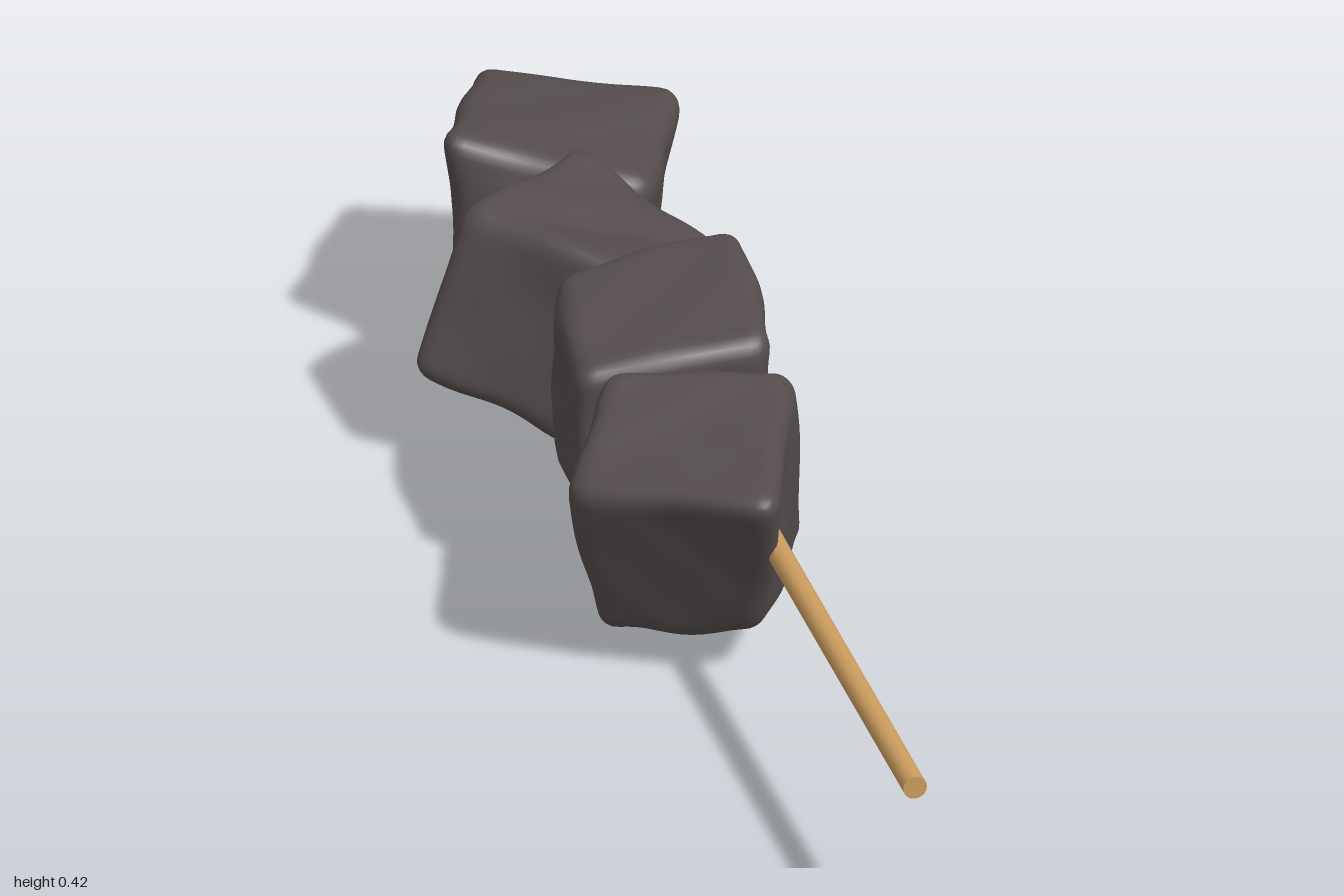
import * as THREE from 'three';
import { mergeVertices } from 'three/addons/utils/BufferGeometryUtils.js';

// Each lump: four bottom corners, then four top corners (left, front, right, back order around)
const LUMPS = [
  [[-.15, .06, .14], [.05, .07, .22], [.155, .12, .05], [-.09, .10, -.01],
   [-.21, .31, .19], [.03, .34, .36], [.14, .37, .05], [-.10, .38, .0]],
  [[-.13, .12, -.02], [.12, .10, -.03], [.15, .14, -.27], [-.10, .13, -.26],
   [-.14, .37, -.02], [.13, .39, -.01], [.16, .41, -.30], [-.10, .39, -.27]],
  [[-.245, .15, -.49], [-.04, .08, -.34], [.09, .01, -.46], [.02, .09, -.64],
   [-.16, .37, -.52], [.05, .34, -.30], [.20, .26, -.49], [.04, .36, -.67]],
  [[-.12, .12, -.69], [.08, .05, -.63], [.19, .0, -.88], [-.01, .02, -.92],
   [-.13, .37, -.73], [.13, .30, -.64], [.245, .29, -.91], [-.01, .315, -1.0]],
];

// Smooth bumps that vary over the surface
function bump(p, seed) {
  return 0.55 * Math.sin(p.x * 3.1 + seed * 1.7) * Math.sin(p.y * 2.7 + seed) * Math.cos(p.z * 3.3 - seed)
    + 0.35 * Math.sin(p.x * 4.7 + seed * 2.3) * Math.cos(p.z * 5.1 + seed) * Math.cos(p.y * 4.4 - seed);
}

// Rounded cube stretched to eight corners and roughened
function lumpGeometry(corners, seed) {
  const geo = new THREE.BoxGeometry(2, 2, 2, 26, 26, 26);
  geo.deleteAttribute('uv');
  geo.deleteAttribute('normal');
  const merged = mergeVertices(geo);
  const pos = merged.attributes.position;
  const c = corners.map((a) => new THREE.Vector3(...a));
  const centre = c.reduce((s, v) => s.add(v), new THREE.Vector3()).divideScalar(8);
  const round = 0.22, p = new THREE.Vector3(), q = new THREE.Vector3();
  for (let i = 0; i < pos.count; i++) {
    p.fromBufferAttribute(pos, i);
    const inner = p.clone().clampScalar(round - 1, 1 - round);
    p.sub(inner).setLength(round).add(inner).multiplyScalar(1.08);
    const u = (p.x + 1) / 2, v = (p.y + 1) / 2, w = (p.z + 1) / 2;
    const ring = [(1 - u) * w, u * w, u * (1 - w), (1 - u) * (1 - w)];
    q.set(0, 0, 0);
    ring.forEach((k, j) => {
      q.addScaledVector(c[j], k * (1 - v)).addScaledVector(c[j + 4], k * v);
    });
    q.addScaledVector(q.clone().sub(centre).normalize(), 0.012 * bump(p, seed));
    pos.setXYZ(i, q.x, Math.max(q.y, 0), Math.max(q.z, -1));
  }
  merged.computeVertexNormals();
  return merged;
}

export function createModel() {
  const model = new THREE.Group();
  const charcoal = new THREE.MeshStandardMaterial({ color: 0x544c4c });
  charcoal.name = 'charcoal';
  const wood = new THREE.MeshStandardMaterial({ color: 0xcb9d5e });
  wood.name = 'wood';

  // Skewer stick running into the last chunk
  const front = 1, back = -0.7;
  const stick = new THREE.Mesh(new THREE.CylinderGeometry(0.017, 0.017, front - back, 20), wood);
  stick.name = 'stick';
  stick.rotation.x = Math.PI / 2;
  stick.position.set(0.058, 0.232, (front + back) / 2);
  model.add(stick);

  // Skewered chunks
  LUMPS.forEach((corners, i) => {
    const chunk = new THREE.Mesh(lumpGeometry(corners, i * 2.1 + 0.6), charcoal);
    chunk.name = 'chunk' + (i + 1);
    model.add(chunk);
  });
  return model;
}
